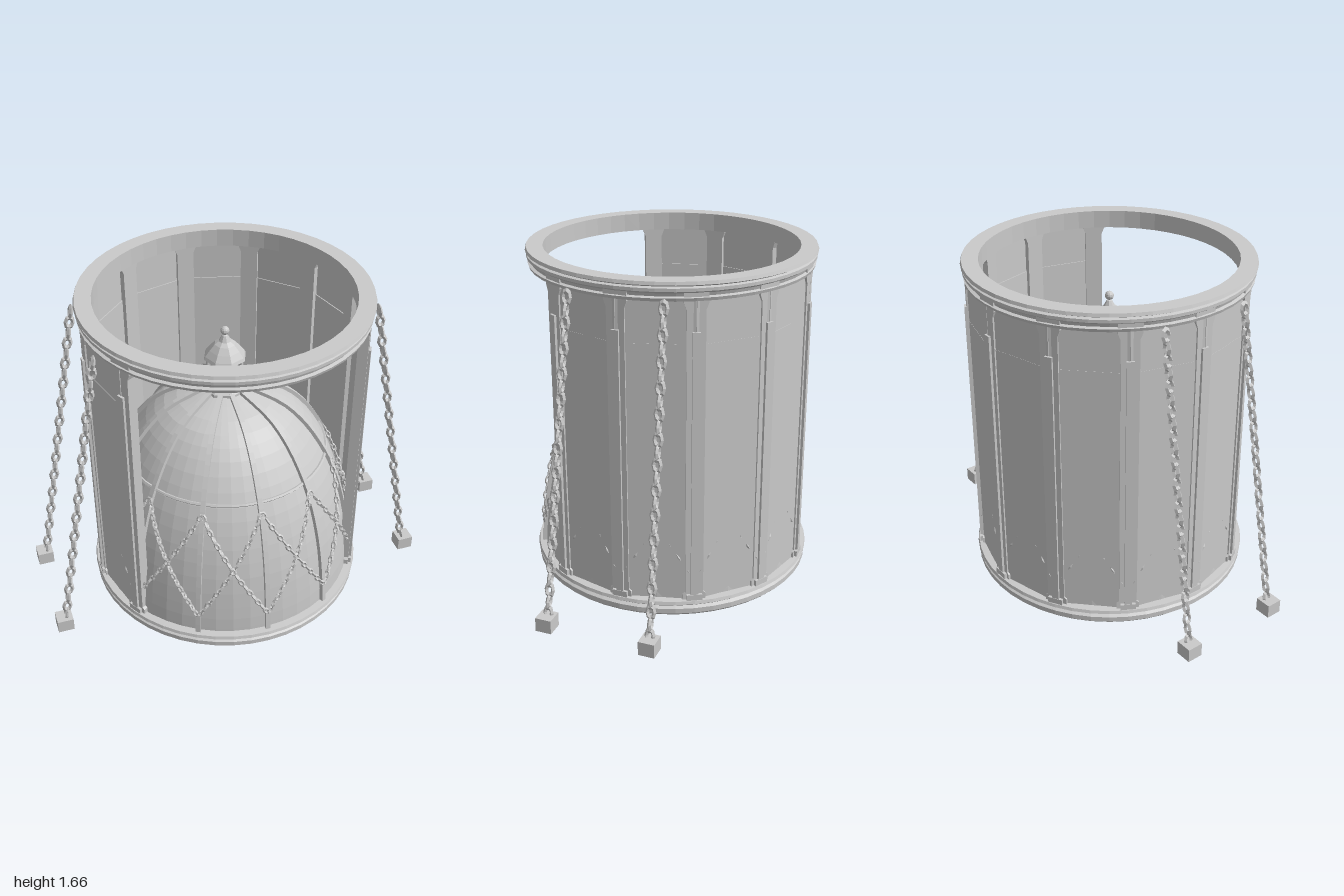
import * as THREE from 'three';
import { mergeGeometries } from 'three/addons/utils/BufferGeometryUtils.js';

const stone = new THREE.MeshStandardMaterial({ color: 0xcacaca, flatShading: true, side: THREE.DoubleSide });
stone.name = 'stone grey';
const STEP = Math.PI / 6;
const V2 = (x, y) => new THREE.Vector2(x, y);

// Dome profile as a smooth curve of (radius, height)
const domeCurve = new THREE.SplineCurve([
  [0.67, 0.06], [0.66, 0.2], [0.63, 0.42], [0.58, 0.62], [0.51, 0.79],
  [0.405, 0.95], [0.28, 1.06], [0.1, 1.13],
].map(([r, y]) => V2(r, y)));
const domePoints = domeCurve.getPoints(18);
const fine = domeCurve.getPoints(150);
const domeRadius = (y) => (fine.find((p) => p.y >= y) || fine[150]).x;

export function createModel() {
  const model = new THREE.Group();
  const add = (name, geo, parent = model) => {
    const mesh = new THREE.Mesh(geo, stone);
    mesh.name = name;
    parent.add(mesh);
    return mesh;
  };
  const group = (name) => {
    const g = new THREE.Group();
    g.name = name;
    model.add(g);
    return g;
  };
  const lathe = (name, pts, sides, parent) =>
    add(name, new THREE.LatheGeometry(pts.map(([r, y]) => V2(r, y)), sides), parent);

  // Chain of alternating links along a path, out(p) being the outward direction
  const chainGeometry = (path, out, count, length, width, wire) => {
    const links = [];
    const base = new THREE.TorusGeometry(width / 2 - wire, wire, 4, 8);
    base.scale(length / width, 1, 1);
    for (let i = 0; i < count; i++) {
      const t = (i + 0.5) / count;
      const p = path.getPoint(t);
      const along = path.getTangent(t);
      const side = new THREE.Vector3().crossVectors(out(p), along).normalize();
      const normal = new THREE.Vector3().crossVectors(along, side);
      const m = new THREE.Matrix4().makeBasis(along, side, normal);
      m.multiply(new THREE.Matrix4().makeRotationX(i % 2 ? Math.PI / 2 : 0)).setPosition(p);
      links.push(base.clone().applyMatrix4(m));
    }
    return mergeGeometries(links);
  };

  // Moulded rings at top and bottom
  lathe('topRing', [
    [0.62, 1.57], [0.69, 1.57], [0.695, 1.585], [0.68, 1.59], [0.685, 1.605], [0.7, 1.615],
    [0.7, 1.63], [0.685, 1.635], [0.705, 1.645], [0.7, 1.66], [0.62, 1.66], [0.62, 1.57],
  ], 48);
  lathe('bottomRing', [
    [0.64, 0], [0.69, 0], [0.705, 0.015], [0.705, 0.04], [0.69, 0.05], [0.71, 0.065],
    [0.705, 0.08], [0.64, 0.085], [0.64, 0],
  ], 48);

  // Dome shell with ribs and a band
  const dome = group('dome');
  add('domeShell', new THREE.LatheGeometry(domePoints, 48), dome);
  const outer = [], inner = [];
  for (let i = 0; i <= 24; i++) {
    const p = domeCurve.getPoint(i / 24), t = domeCurve.getTangent(i / 24);
    outer.push(V2(p.x + t.y * 0.018, p.y - t.x * 0.018));
    inner.unshift(V2(p.x - t.y * 0.008, p.y + t.x * 0.008));
  }
  const ribGeo = new THREE.ExtrudeGeometry(new THREE.Shape([...outer, ...inner]), { depth: 0.024, bevelEnabled: false });
  ribGeo.translate(0, 0, -0.012);
  for (let k = 0; k < 12; k++) add('domeRib', ribGeo, dome).rotation.y = k * STEP;
  const band = add('domeBand', new THREE.TorusGeometry(0.515, 0.009, 5, 48), dome);
  band.rotation.x = Math.PI / 2;
  band.position.y = 0.785;

  // Diamond lattice of chains around the dome
  const lattice = group('domeChains');
  const radial = (p) => new THREE.Vector3(p.x, 0, p.z).normalize();
  for (const dir of [1, -1]) {
    const pts = [];
    for (let i = 0; i <= 8; i++) {
      const y = 0.19 + 0.56 * i / 8, a = dir * STEP * i / 8, r = domeRadius(y) + 0.018;
      pts.push(new THREE.Vector3(r * Math.sin(a), y, r * Math.cos(a)));
    }
    const geo = chainGeometry(new THREE.CatmullRomCurve3(pts), radial, 17, 0.054, 0.032, 0.006);
    for (let k = 0; k < 12; k++) add('latticeChain', geo, lattice).rotation.y = k * STEP;
  }

  // Lantern on top of the dome
  const lantern = group('lantern');
  lathe('lanternLedge', [[0, 1.1], [0.1, 1.1], [0.118, 1.12], [0.118, 1.14], [0.1, 1.155], [0, 1.155]], 8, lantern);
  lathe('lanternDrum', [[0.08, 1.15], [0.08, 1.3]], 8, lantern);
  for (let k = 0; k < 8; k++) {
    const a = k * Math.PI / 4;
    const post = add('lanternPost', new THREE.BoxGeometry(0.02, 0.15, 0.02), lantern);
    post.position.set(0.083 * Math.sin(a), 1.225, 0.083 * Math.cos(a));
    post.rotation.y = a;
  }
  lathe('lanternRoof', [
    [0, 1.285], [0.09, 1.285], [0.107, 1.3], [0.1, 1.315], [0.078, 1.345], [0.052, 1.375],
    [0.03, 1.39], [0.014, 1.42], [0, 1.43],
  ], 8, lantern);
  add('finial', new THREE.SphereGeometry(0.022, 12, 8), lantern).position.y = 1.445;

  // Pedestal inside the dome
  lathe('innerPedestal', [
    [0, 0.005], [0.22, 0.005], [0.22, 0.05], [0.16, 0.07], [0.145, 0.1], [0.145, 0.38], [0.17, 0.41], [0, 0.43],
  ], 8);

  // Wall of flat panels, open at the front
  const wall = group('wall');
  for (let k = 0; k < 8; k++) {
    const bay = new THREE.Group();
    bay.name = 'wallBay';
    bay.rotation.y = (2.5 + k) * STEP;
    wall.add(bay);
    add('lowerPanel', new THREE.BoxGeometry(0.356, 1.3, 0.02), bay).position.set(0, 0.72, 0.657);
    add('upperPanel', new THREE.BoxGeometry(0.354, 0.21, 0.014), bay).position.set(0, 1.475, 0.659);
  }

  // Pilasters between the panels
  const half = [[0.055, 0.08], [0.055, 0.11], [0.043, 0.12], [0.043, 1.53], [0.055, 1.56], [0.055, 1.62]];
  const outline = [...half, ...half.map(([x, y]) => [-x, y]).reverse()];
  const pilaster = new THREE.ExtrudeGeometry(new THREE.Shape(outline.map(([x, y]) => V2(x, y))),
    { depth: 0.05, bevelEnabled: false });
  pilaster.translate(0, 0, 0.636);
  for (let k = 2; k <= 10; k++) {
    const post = new THREE.Group();
    post.name = 'pilaster';
    post.rotation.y = k * STEP;
    wall.add(post);
    add('pilasterShaft', pilaster, post);
    add('pilasterStrip', new THREE.BoxGeometry(0.036, 1.33, 0.014), post).position.set(0, 0.765, 0.691);
    add('pilasterFoot', new THREE.BoxGeometry(0.075, 0.03, 0.016), post).position.set(0, 0.095, 0.692);
  }

  // Four anchor chains with ground blocks
  const anchors = group('anchorChains');
  for (const sx of [1, -1]) for (const sz of [1, -1]) {
    const path = new THREE.LineCurve3(
      new THREE.Vector3(sx * 0.685, 1.58, sz * 0.228), new THREE.Vector3(sx * 0.95, 0.05, sz * 0.258));
    add('anchorChain', chainGeometry(path, () => new THREE.Vector3(sx, 0, 0), 27, 0.084, 0.054, 0.0095), anchors);
    add('anchorBlock', new THREE.BoxGeometry(0.082, 0.07, 0.08), anchors).position.set(sx * 0.959, 0.035, sz * 0.26);
  }
  return model;
}
